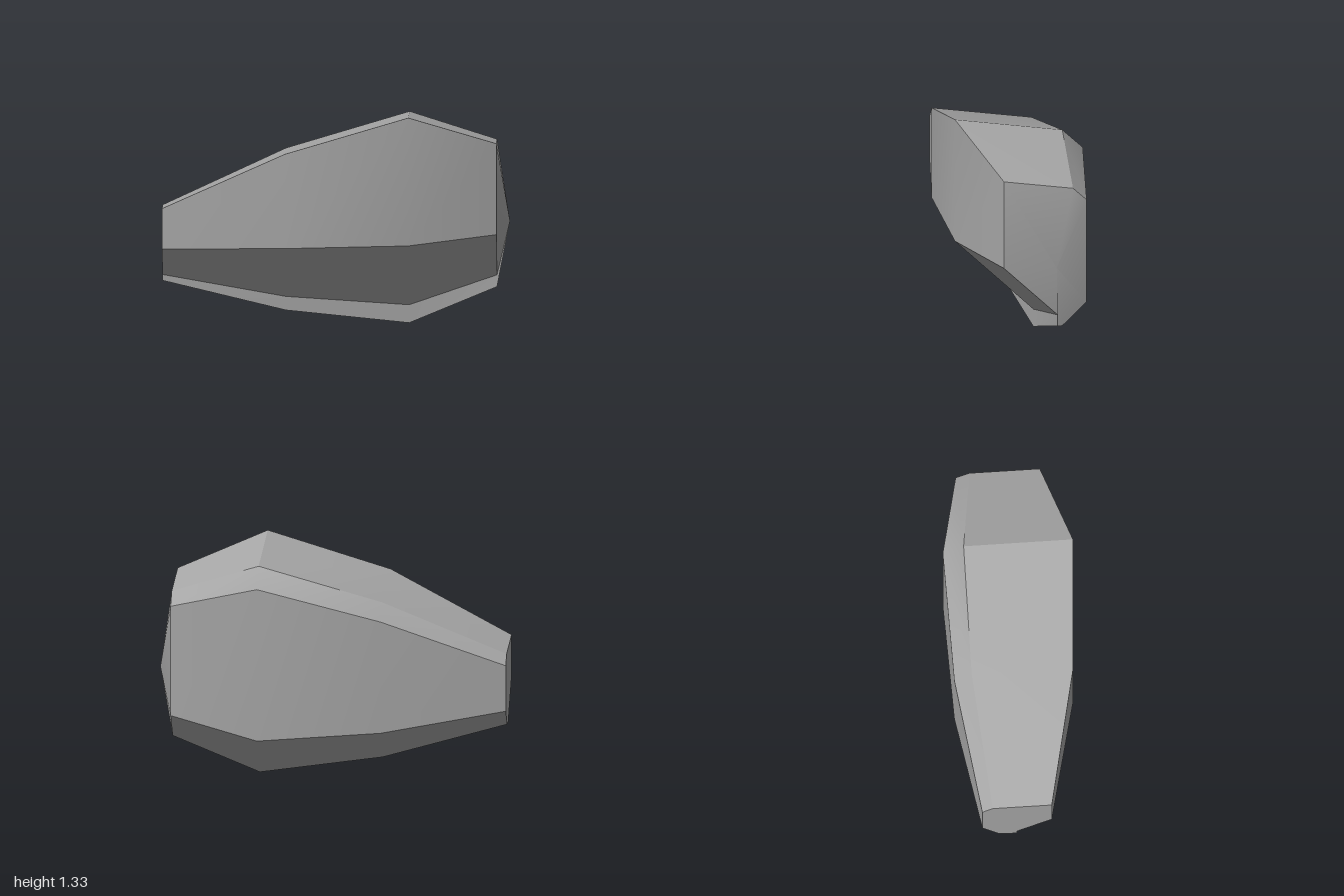
import * as THREE from 'three';
import { toCreasedNormals } from 'three/addons/utils/BufferGeometryUtils.js';

// Cross-sections along x, each a closed loop of [z, y]:
// front top, back top, chamfer, back bottom, keel back, keel front, notch, front bottom
const sections = [
  { x: -1, loop: [[0.25, 0.755], [-0.09, 0.695], [-0.15, 0.635], [-0.15, 0.37], [-0.06, 0.28], [0.05, 0.28], [0.05, 0.315], [0.25, 0.515]] },
  { x: -0.29, loop: [[0.375, 1.11], [-0.21, 1.005], [-0.31, 0.905], [-0.31, 0.257], [-0.147, 0.094], [0, 0.094], [0, 0.175], [0.375, 0.55]] },
  { x: 0.42, loop: [[0.375, 1.327], [-0.255, 1.213], [-0.375, 1.095], [-0.375, 0.212], [-0.165, 0], [-0.085, 0], [-0.085, 0.107], [0.375, 0.568]] },
  { x: 0.925, loop: [[0.185, 1.13], [-0.22, 1.058], [-0.3, 0.98], [-0.3, 0.343], [-0.157, 0.205], [-0.13, 0.205], [-0.13, 0.275], [0.185, 0.59]] },
];

function loftGeometry() {
  const n = sections[0].loop.length;
  const last = sections.length - 1;
  const positions = [];
  const index = [];
  for (const { x, loop } of sections) for (const [z, y] of loop) positions.push(x, y, z);

  // centres of the flat small end and the pointed large end
  const flat = positions.length / 3;
  positions.push(-1, 0.5, 0.05);
  const tip = flat + 1;
  positions.push(1, 0.6, -0.11);

  for (let j = 0; j < n; j++) {
    const k = (j + 1) % n;
    for (let i = 0; i < last; i++) {
      const a = i * n + j, b = a + n, c = (i + 1) * n + k, d = i * n + k;
      index.push(a, b, c, a, c, d);
    }
    index.push(flat, j, k);
    index.push(tip, last * n + k, last * n + j);
  }
  const geometry = new THREE.BufferGeometry();
  geometry.setAttribute('position', new THREE.Float32BufferAttribute(positions, 3));
  geometry.setIndex(index);
  return toCreasedNormals(geometry, Math.PI / 6);
}

export function createModel() {
  const stone = new THREE.MeshStandardMaterial({ color: 0xa6a6a6, side: THREE.DoubleSide });
  stone.name = 'stone grey';

  const group = new THREE.Group();
  group.name = 'rock';
  const body = new THREE.Mesh(loftGeometry(), stone);
  body.name = 'rockBody';
  group.add(body);
  return group;
}
